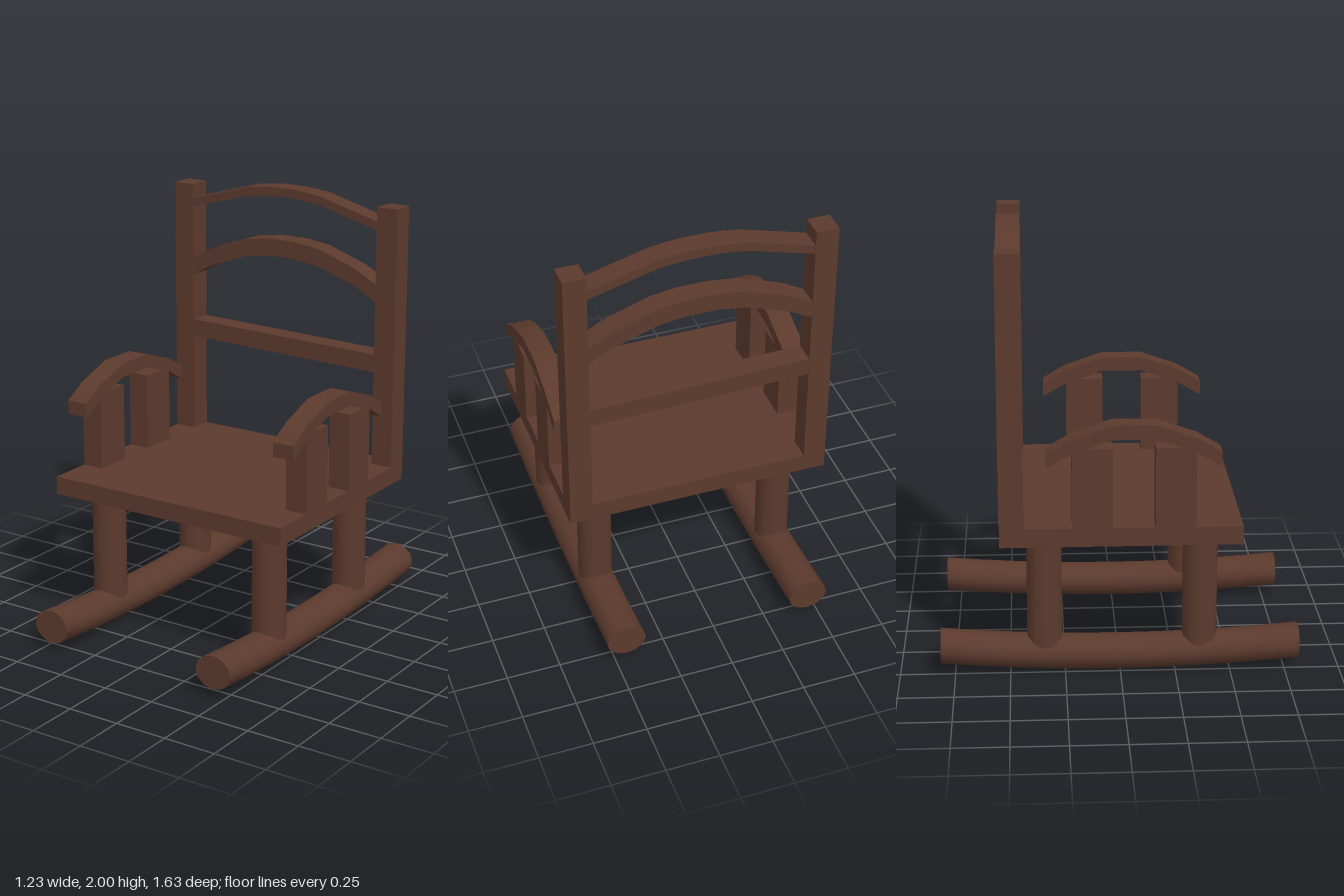
import * as THREE from 'three';
import { toCreasedNormals } from 'three/addons/utils/BufferGeometryUtils.js';

const wood = new THREE.MeshStandardMaterial({ color: 0x5c3a2d });
const POST = 0.105; // thickness of posts, slats and arms
const SIDE_X = 0.5625; // centre of posts and arms
const BACK_Z = -0.487;

export function createModel() {
  const chair = new THREE.Group();
  chair.name = 'rockingChair';

  const add = (name, geometry, x, y, z) => {
    const mesh = new THREE.Mesh(geometry, wood);
    mesh.name = name;
    mesh.position.set(x, y, z);
    chair.add(mesh);
    return mesh;
  };

  // Box given by its vertical extent
  const upright = (name, w, d, y0, y1, x, z) =>
    add(name, new THREE.BoxGeometry(w, y1 - y0, d), x, (y0 + y1) / 2, z);

  // Bent bar: an upper outline and the same outline shifted down
  const bentBar = (top, thickness) => {
    const bottom = top.map(([u, v]) => [u, v - thickness]).reverse();
    const shape = new THREE.Shape([...top, ...bottom].map(([u, v]) => new THREE.Vector2(u, v)));
    const bar = new THREE.ExtrudeGeometry(shape, { depth: POST, bevelEnabled: false });
    bar.translate(0, 0, -POST / 2);
    return toCreasedNormals(bar, 0.6);
  };
  const mirrored = (half) => [...half, ...half.map(([u, v]) => [-u, v]).reverse()];

  // Seat
  upright('seat', 1.23, 1.08, 0.65, 0.735, 0, 0);

  // Back slats
  add('topSlat', bentBar(mirrored([[-0.52, 1.897], [-0.2, 1.985], [-0.13, 1.994], [-0.06, 2]]), 0.042), 0, 0, BACK_Z);
  add('middleSlat', bentBar(mirrored([[-0.52, 1.6], [-0.4, 1.665], [-0.2, 1.734], [-0.07, 1.752]]), 0.083), 0, 0, BACK_Z);
  add('lowerSlat', bentBar([[-0.52, 1.295], [0.52, 1.27]], 0.085), 0, 0, BACK_Z);

  const armTop = [[-0.33, 1.08], [-0.22, 1.145], [-0.04, 1.207], [0.15, 1.207], [0.33, 1.145], [0.44, 1.08]];
  for (const [side, s] of [['left', 1], ['right', -1]]) {
    upright(`${side}BackPost`, POST, 0.11, 0.735, 1.968, s * SIDE_X, BACK_Z);

    // Armrest and its supports
    add(`${side}Armrest`, bentBar(armTop, 0.066).rotateY(-Math.PI / 2), s * SIDE_X, 0, 0);
    upright(`${side}FrontArmSupport`, POST, 0.18, 0.735, 1.1, s * SIDE_X, 0.24);
    upright(`${side}BackArmSupport`, POST, 0.18, 0.735, 1.1, s * SIDE_X, -0.128);

    // Legs
    for (const [end, z] of [['Front', 0.3625], ['Back', -0.343]]) {
      add(`${side}${end}Leg`, new THREE.CylinderGeometry(0.079, 0.079, 0.53, 20), s * 0.447, 0.39, z);
    }

    // Rocker: a round bar bent upwards towards both ends
    const rocker = new THREE.CylinderGeometry(0.092, 0.092, 1.63, 12, 10).rotateX(Math.PI / 2);
    const p = rocker.attributes.position;
    for (let i = 0; i < p.count; i++) {
      p.setY(i, p.getY(i) * 0.86 + 0.038 * (p.getZ(i) / 0.815) ** 2);
    }
    rocker.computeVertexNormals();
    add(`${side}Rocker`, toCreasedNormals(rocker, 0.8), s * 0.447, 0.08, 0);
  }
  return chair;
}
